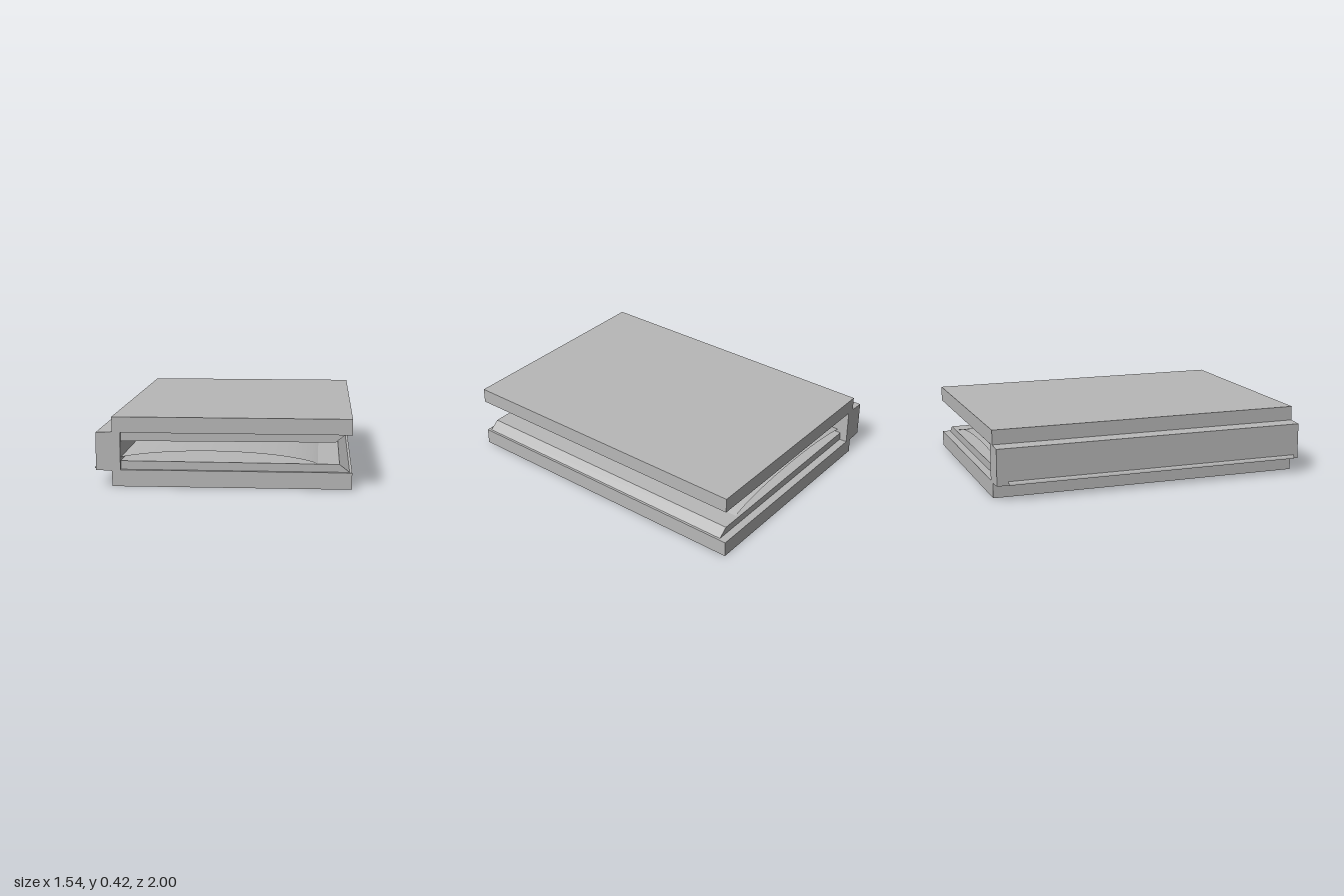
import * as THREE from 'three';

export function createModel() {
  const model = new THREE.Group();
  const grey = new THREE.MeshStandardMaterial({ color: 0xb8b8b8, side: THREE.DoubleSide });
  grey.name = 'plainGrey';

  // Extrudes an x-y outline from z0 to z1
  const prism = (name, points, z0, z1) => {
    const shape = new THREE.Shape(points.map(([x, y]) => new THREE.Vector2(x, y)));
    const geometry = new THREE.ExtrudeGeometry(shape, { depth: z1 - z0, bevelEnabled: false });
    const mesh = new THREE.Mesh(geometry, grey);
    mesh.name = name;
    mesh.position.z = z0;
    model.add(mesh);
  };

  // Channel body: two slabs joined by a spine that stands out on one side
  prism('channelBody', [
    [-0.66, 0], [0.77, 0], [0.77, 0.1], [-0.61, 0.1], [-0.61, 0.325], [0.77, 0.325],
    [0.77, 0.42], [-0.66, 0.42], [-0.66, 0.33], [-0.757, 0.325], [-0.757, 0.098], [-0.66, 0.093],
  ], -1, 1);

  // Inner pads with a chamfered edge at the open side
  prism('lowerPad', [[-0.61, 0.1], [0.755, 0.1], [0.695, 0.147], [-0.61, 0.152]], -0.95, 0.98);
  prism('upperPad', [[-0.61, 0.325], [-0.61, 0.272], [0.67, 0.278], [0.73, 0.325]], -0.95, 0.98);

  // Thin arched leaf: the open upper half of a flattened tube
  const leafGeometry = new THREE.CylinderGeometry(1, 1, 1.9, 48, 1, true, 0, Math.PI);
  leafGeometry.rotateX(Math.PI / 2).rotateZ(Math.PI / 2);
  leafGeometry.scale(0.7, 0.115, 1);
  const leaf = new THREE.Mesh(leafGeometry, grey);
  leaf.name = 'archedLeaf';
  leaf.position.set(-0.07, 0.1, 0.02);
  model.add(leaf);

  return model;
}
